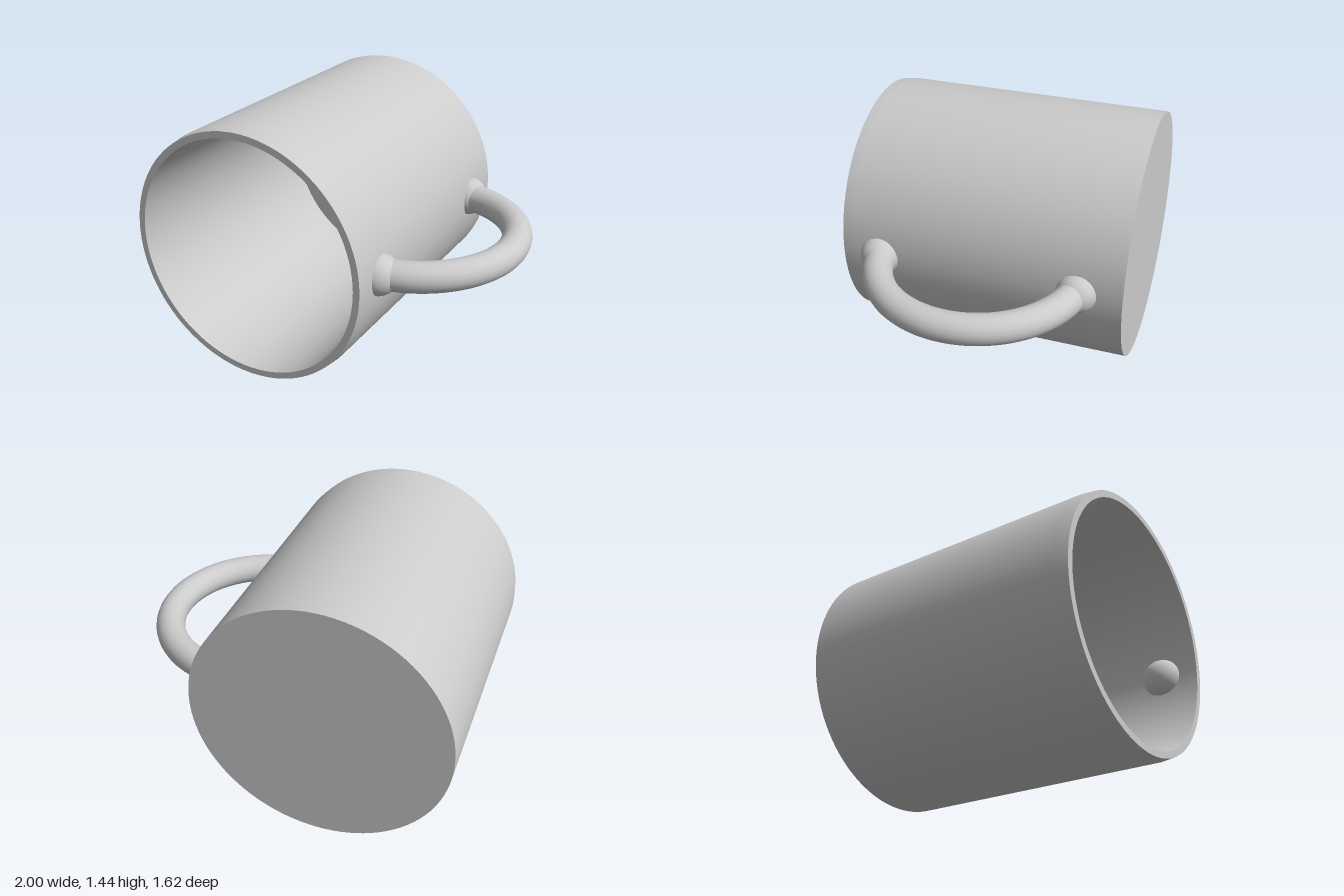
import * as THREE from 'three';
import { toCreasedNormals } from 'three/addons/utils/BufferGeometryUtils.js';

export function createModel() {
  const mug = new THREE.Group();
  mug.name = 'mug';
  const material = new THREE.MeshStandardMaterial({ color: 0xcccccc });
  const axisY = 0.722;

  const add = (name, geometry, x, y, z) => {
    const mesh = new THREE.Mesh(geometry, material);
    mesh.name = name;
    mesh.position.set(x, y, z);
    mug.add(mesh);
  };

  // Hollow body lying on its side, open towards +z, with a slightly tapered lip
  const profile = [
    [0, -0.808], [0.722, -0.808], [0.722, 0.74], [0.713, 0.808],
    [0.675, 0.808], [0.675, -0.75], [0, -0.75],
  ].map(([r, h]) => new THREE.Vector2(r, h));
  const body = new THREE.LatheGeometry(profile, 96);
  body.rotateX(Math.PI / 2);
  add('body', toCreasedNormals(body, Math.PI / 6), -0.278, axisY, 0);

  // Handle: a circular arc whose ends are buried in the joints
  const arc = THREE.MathUtils.degToRad(166);
  const handle = new THREE.TorusGeometry(0.565, 0.084, 24, 64, arc);
  handle.rotateZ(-arc / 2);
  handle.rotateX(Math.PI / 2);
  add('handle', handle, 0.35, 0.725, 0.015);

  // Ball joints where the handle meets the wall
  for (const [name, z] of [['frontJoint', 0.585], ['backJoint', -0.555]]) {
    add(name, new THREE.SphereGeometry(0.115, 40, 28), 0.417, 0.725, z);
  }

  return mug;
}
